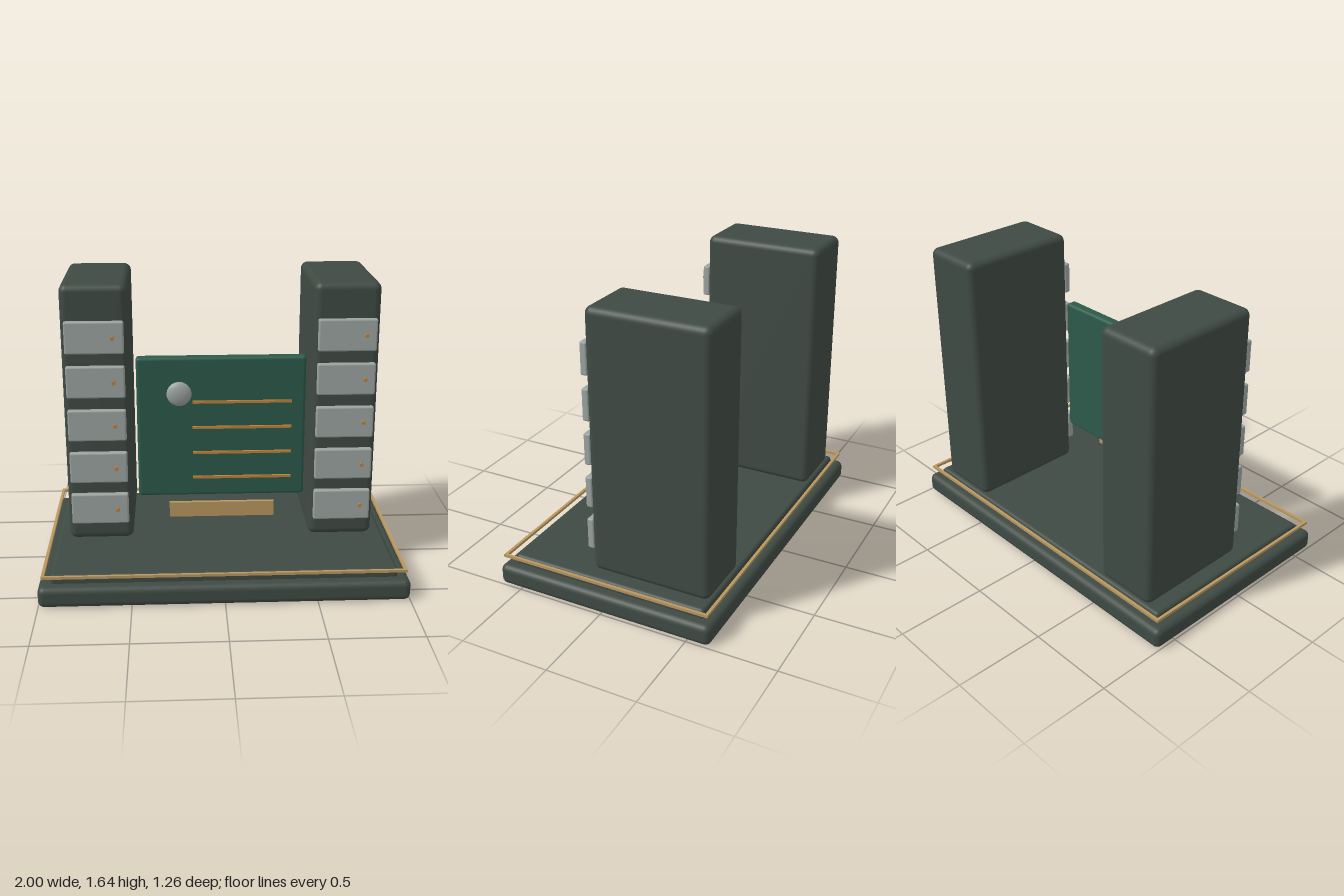
import * as THREE from 'three';
import { RoundedBoxGeometry } from 'three/addons/geometries/RoundedBoxGeometry.js';

const material = (name, color) => {
  const m = new THREE.MeshStandardMaterial({ color });
  m.name = name;
  return m;
};

export function createModel() {
  const model = new THREE.Group();
  model.name = 'drawerTowersWithBoard';

  const slate = material('dark slate green', 0x3f4a43);
  const green = material('board green', 0x2c5a4a);
  const silver = material('silver grey', 0x9aa3a0);
  const brass = material('pale brass', 0xb8965e);
  const copper = material('copper orange', 0xbd7f38);

  const add = (name, geometry, mat, parent = model) => {
    const mesh = new THREE.Mesh(geometry, mat);
    mesh.name = name;
    parent.add(mesh);
    return mesh;
  };

  // Box given by its limits on each axis; radius 0 keeps sharp edges
  const box = (name, [x0, x1], [y0, y1], [z0, z1], radius, mat, parent) => {
    const size = [x1 - x0, y1 - y0, z1 - z0];
    const geometry = radius
      ? new RoundedBoxGeometry(...size, 4, radius)
      : new THREE.BoxGeometry(...size);
    const mesh = add(name, geometry, mat, parent);
    mesh.position.set((x0 + x1) / 2, (y0 + y1) / 2, (z0 + z1) / 2);
    return mesh;
  };

  // Stepped base
  box('base', [-1, 1], [0, 0.117], [-0.63, 0.63], 0.035, slate);
  box('baseStep', [-0.935, 0.935], [0.1, 0.165], [-0.568, 0.568], 0.02, slate);

  // Thin rail floating around the step
  const rail = new THREE.Group();
  rail.name = 'rail';
  model.add(rail);
  const railY = [0.163, 0.178];
  for (const s of [-1, 1]) {
    box('railLong', [-0.978, 0.978], railY, [s * 0.602 - 0.008, s * 0.602 + 0.008], 0, brass, rail);
    box('railShort', [s * 0.97 - 0.008, s * 0.97 + 0.008], railY, [-0.594, 0.594], 0, brass, rail);
  }

  // Two towers, each with five drawers; knobs sit on the same side of both
  for (const s of [-1, 1]) {
    const tower = new THREE.Group();
    tower.name = s > 0 ? 'leftTower' : 'rightTower';
    model.add(tower);
    const cx = s * 0.684;
    box('cabinet', [cx - 0.182, cx + 0.182], [0.165, 1.637], [-0.562, 0.118], 0.04, slate, tower);
    for (let i = 0; i < 5; i++) {
      const y = 0.366 + i * 0.2475;
      box('drawer', [cx - 0.16, cx + 0.16], [y - 0.089, y + 0.089], [0.118, 0.157], 0.01, silver, tower);
      const knob = add('knob', new THREE.CylinderGeometry(0.011, 0.011, 0.014, 16), copper, tower);
      knob.rotation.x = Math.PI / 2;
      knob.position.set(cx + 0.1, y + 0.003, 0.175);
    }
  }

  // Central board with ruled lines, a domed disc and a plate below
  box('board', [-0.465, 0.465], [0.433, 1.239], [0.072, 0.136], 0.018, green);
  for (let i = 0; i < 4; i++) {
    const y = 0.549 + i * 0.147;
    box('boardLine', [-0.159, 0.388], [y - 0.007, y + 0.007], [0.146, 0.158], 0, copper);
  }
  const disc = add('disc', new THREE.SphereGeometry(0.068, 32, 20), silver);
  disc.scale.z = 0.43;
  disc.position.set(-0.232, 1.047, 0.18);
  box('plate', [-0.293, 0.293], [0.326, 0.412], [0.167, 0.188], 0, brass);

  return model;
}
